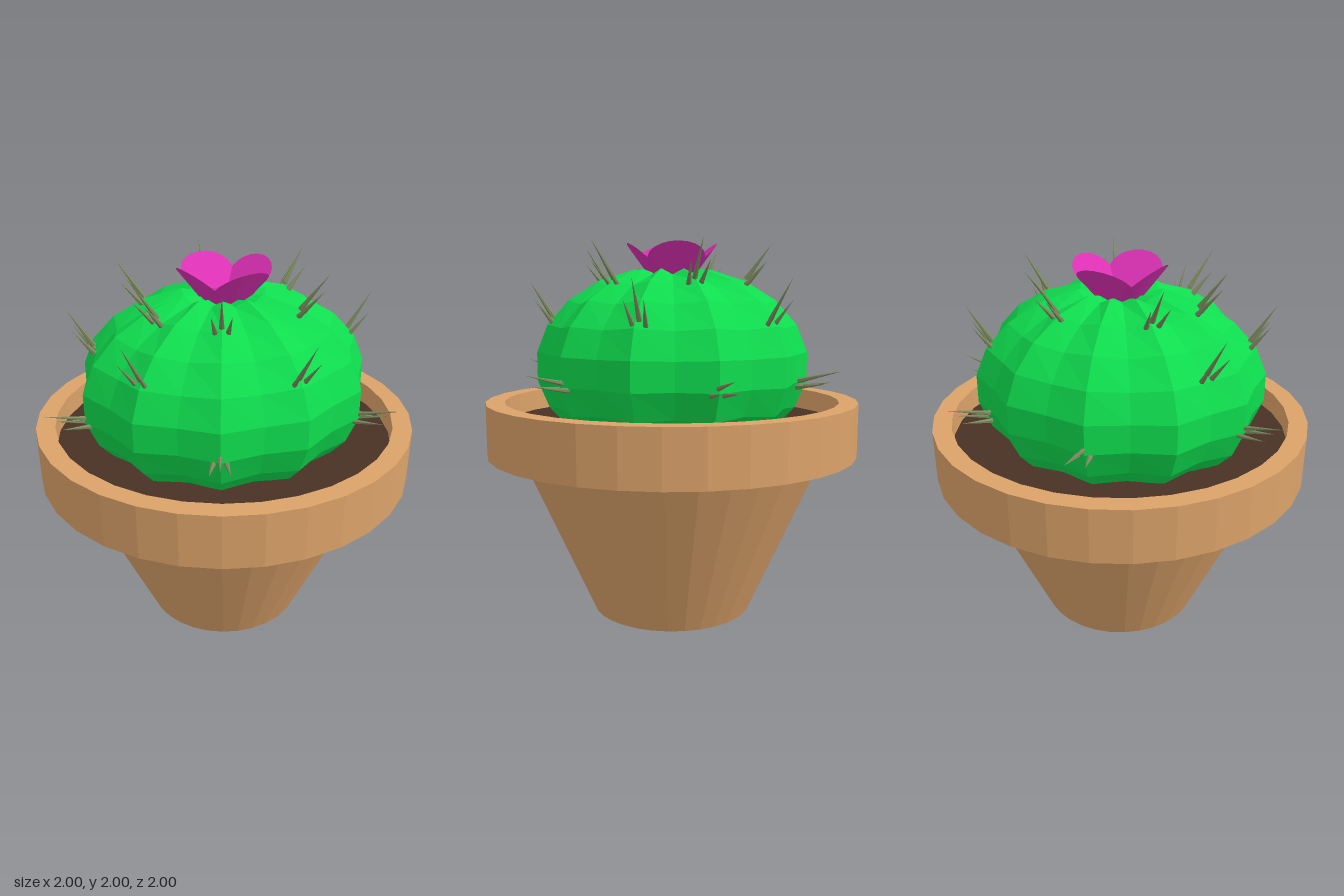
import * as THREE from 'three';

const mat = (color) => new THREE.MeshStandardMaterial({ color, flatShading: true });
const rad = THREE.MathUtils.degToRad;

function add(parent, name, geometry, material) {
  const mesh = new THREE.Mesh(geometry, material);
  mesh.name = name;
  parent.add(mesh);
  return mesh;
}

// Ribbed squat sphere: every second meridian is pulled in to form a groove
const RIBS = 11, CENTRE_Y = 1.35, RX = 0.777, RY = 0.53, RZ = 0.73;
function cactusGeometry() {
  const geo = new THREE.SphereGeometry(1, RIBS * 2, 11, Math.PI / 2);
  const p = geo.attributes.position;
  for (let i = 0; i < p.count; i++) {
    const x = p.getX(i), y = p.getY(i), z = p.getZ(i);
    const k = Math.round(Math.atan2(x, z) / (Math.PI / RIBS));
    const pole = Math.abs(y) > 0.999;
    const s = pole ? 0.86 : Math.abs(k) % 2 ? 0.94 : 1;
    p.setXYZ(i, x * RX * s, CENTRE_Y + y * RY * s, z * RZ * s);
  }
  geo.computeVertexNormals();
  return geo;
}

// Skewed cone: narrow foot near the axis, oval mouth tilted inwards
function petalGeometry() {
  const geo = new THREE.CylinderGeometry(1, 0, 1, 20);
  const p = geo.attributes.position;
  for (let i = 0; i < p.count; i++) {
    const x = p.getX(i), t = p.getY(i) + 0.5, z = p.getZ(i);
    p.setXYZ(i, 0.15 * x, 1.7 + 0.22 * t + 0.075 * z, 0.03 + 0.125 * t + 0.085 * z);
  }
  geo.computeVertexNormals();
  return geo;
}

// Three thin spines fanned out from one point on the skin
function spineCluster(angle, y, lift, material) {
  const cluster = new THREE.Group();
  cluster.name = 'spineCluster';
  const r = Math.sqrt(1 - ((y - CENTRE_Y) / RY) ** 2) * 0.97;
  cluster.position.set(Math.sin(angle) * r * RX, y, Math.cos(angle) * r * RZ);
  cluster.rotation.y = angle;
  for (const side of [-1, 0, 1]) {
    const length = side ? 0.16 : 0.23;
    const geo = new THREE.ConeGeometry(0.014, length, 6).translate(0, length / 2, 0);
    const spine = add(cluster, 'spine', geo, material);
    spine.position.set(side * 0.03, side ? -0.015 : 0.015, 0);
    const e = lift - (side ? 0.1 : 0);
    const dir = new THREE.Vector3(side * 0.12, Math.sin(e), Math.cos(e)).normalize();
    spine.quaternion.setFromUnitVectors(new THREE.Vector3(0, 1, 0), dir);
  }
  return cluster;
}

export function createModel() {
  const model = new THREE.Group();
  model.name = 'pottedCactus';

  // Tapered pot with a thick rim
  const profile = [[0, 0], [0.435, 0], [0.825, 0.88], [1, 0.88], [1, 1.165], [0.9, 1.165], [0.9, 1.0]]
    .map(([x, y]) => new THREE.Vector2(x, y));
  add(model, 'pot', new THREE.LatheGeometry(profile, 32), mat(0xdba269));

  // Soil
  const soil = add(model, 'soil', new THREE.CircleGeometry(0.9, 32), mat(0x483124));
  soil.rotation.x = -Math.PI / 2;
  soil.position.y = 1.05;

  add(model, 'cactusBody', cactusGeometry(), mat(0x0fdc4e));

  // Flower of four funnel petals
  const flower = new THREE.Group();
  flower.name = 'flower';
  model.add(flower);
  const petalGeo = petalGeometry(), pink = mat(0xdc30b4);
  for (let i = 0; i < 4; i++) add(flower, 'petal', petalGeo, pink).rotation.y = i * Math.PI / 2;

  // Spine clusters in three tiers
  const spines = new THREE.Group();
  spines.name = 'spines';
  model.add(spines);
  const spineMat = mat(0x7c8a5e);
  const tiers = [
    { y: 1.28, lift: 14, angles: [-98, -33, 33, 98, 146, 196] },
    { y: 1.59, lift: 58, angles: [-114, -67, 0, 67, 130] },
    { y: 1.79, lift: 54, angles: [-130, -82, -33, 33, 97, 163] },
  ];
  for (const { y, lift, angles } of tiers)
    for (const a of angles) spines.add(spineCluster(rad(a), y, rad(lift), spineMat));

  return model;
}
